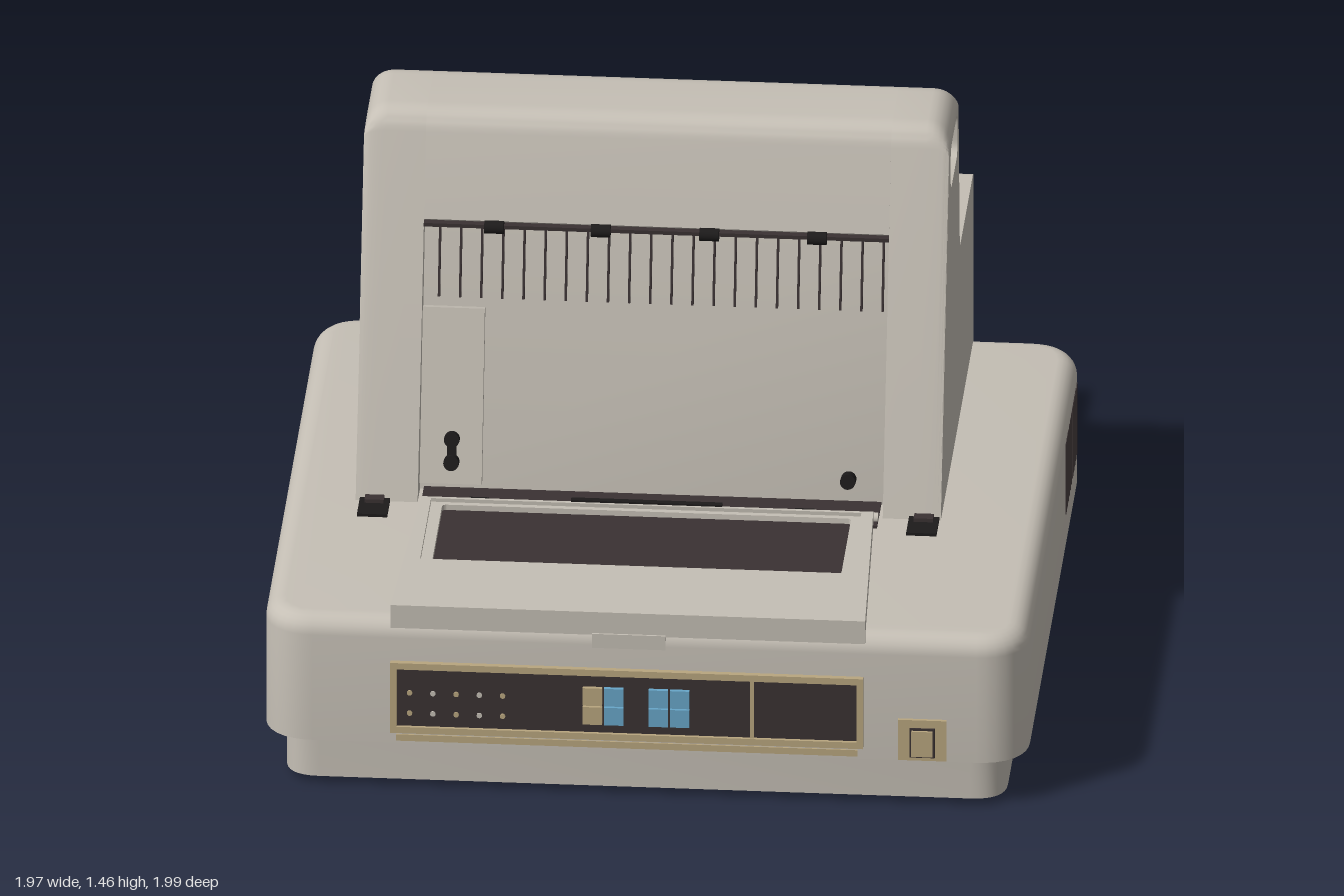
import * as THREE from 'three';
import { toCreasedNormals } from 'three/addons/utils/BufferGeometryUtils.js';

const mat = (name, color) => Object.assign(new THREE.MeshStandardMaterial({ color }), { name });
const beige = mat('warm beige', 0xc5bfb5);
const brown = mat('dark brown', 0x3a3233);
const black = mat('black', 0x1d1b1b);
const tan = mat('tan', 0xb9a67f);
const blue = mat('blue', 0x68a6c9);

// Closed outline from [x, y, radius] corners
function outline(pts, Type = THREE.Shape) {
  const s = new Type();
  pts.forEach(([x, y, r = 0], i) => {
    const p = new THREE.Vector2(x, y);
    const toward = (q) => p.clone().add(new THREE.Vector2(q[0], q[1]).sub(p).setLength(r));
    const a = toward(pts[(i + pts.length - 1) % pts.length]);
    const b = toward(pts[(i + 1) % pts.length]);
    if (i) s.lineTo(a.x, a.y); else s.moveTo(a.x, a.y);
    if (r) s.quadraticCurveTo(x, y, b.x, b.y);
  });
  s.closePath();
  return s;
}
const rect = (x0, x1, y0, y1, r = 0, Type) =>
  outline([[x0, y0, r], [x1, y0, r], [x1, y1, r], [x0, y1, r]], Type);

export function createModel() {
  const model = new THREE.Group();
  model.name = 'printer';

  const add = (name, geo, material, parent = model) => {
    const m = new THREE.Mesh(geo, material);
    m.name = name;
    parent.add(m);
    return m;
  };
  const box = (name, x0, x1, y0, y1, z0, z1, material, parent) => {
    const m = add(name, new THREE.BoxGeometry(x1 - x0, y1 - y0, z1 - z0), material, parent);
    m.position.set((x0 + x1) / 2, (y0 + y1) / 2, (z0 + z1) / 2);
    return m;
  };
  const disc = (name, r, h, axis, x, y, z, material, parent) => {
    const geo = new THREE.CylinderGeometry(r, r, h, 20);
    if (axis === 'x') geo.rotateZ(Math.PI / 2);
    if (axis === 'z') geo.rotateX(Math.PI / 2);
    const m = add(name, geo, material, parent);
    m.position.set(x, y, z);
    return m;
  };
  // Plan outline (x, -z) raised from y0 to y1
  const slab = (name, shape, y0, y1, material) => {
    const geo = new THREE.ExtrudeGeometry(shape, { depth: y1 - y0, bevelEnabled: false, curveSegments: 8 });
    geo.rotateX(-Math.PI / 2).translate(0, y0, 0);
    return add(name, toCreasedNormals(geo, 0.5), material);
  };

  // Lower plinth and feet
  slab('plinth', rect(-0.93, 0.93, -0.96, 0.78, 0.09), 0.02, 0.14, beige);
  for (const x of [-0.8, 0.8]) for (const z of [-0.64, 0.82])
    disc('foot', 0.045, 0.022, 'y', x, 0.011, z, black);
  box('undersideSlot', 0.7, 0.79, 0.014, 0.021, 0.33, 0.37, black);
  box('undersideSlot', 0.74, 0.85, 0.014, 0.021, 0.58, 0.6, black);

  // Upper housing: rounded top edge, flat underside
  const B = 0.05;
  const housing = new THREE.ExtrudeGeometry(rect(-0.985 + B, 0.985 - B, -0.975 + B, 0.81 - B, 0.08), {
    depth: 0.48 - B - 0.13, bevelThickness: B, bevelSize: B, bevelSegments: 6, curveSegments: 8,
  });
  housing.rotateX(-Math.PI / 2).translate(0, 0.13, 0);
  const hp = housing.attributes.position;
  for (let i = 0; i < hp.count; i++) hp.setY(i, Math.max(hp.getY(i), 0.13));
  add('housing', toCreasedNormals(housing, 0.5), beige);

  // Tower: recessed middle between two cheeks with hand grips
  const back = [[0.79, 0.47], [0.79, 0.96, 0.03], [0.34, 0.96, 0.025], [0.29, 1.46, 0.07], [0.008, 1.46, 0.055]];
  const alongX = (shape, depth, steps = 1) =>
    new THREE.ExtrudeGeometry(shape, { depth, steps, bevelEnabled: false, curveSegments: 8 }).rotateY(Math.PI / 2);
  const middle = alongX(outline([...back, [-0.072, 1.19], [-0.04, 1.17], [-0.2, 0.48], [-0.2, 0.47]]), 1.2);
  middle.translate(-0.64, 0, 0);
  add('towerMiddle', toCreasedNormals(middle, 0.5), beige);

  const cheek = (name, xIn, xOut) => {
    const N = 7, R = 0.06, s = Math.sign(xOut - xIn);
    const shape = outline([...back, [-0.283, 0.47]]);
    shape.holes.push(rect(0.04, 0.265, 1.265, 1.385, 0.04, THREE.Path));
    const geo = alongX(shape, N, N);
    const p = geo.attributes.position;
    for (let i = 0; i < p.count; i++) {
      const k = Math.round(s > 0 ? p.getX(i) : N - p.getX(i));
      const a = ((k - 1) / (N - 1)) * Math.PI / 2;
      p.setX(i, k === 0 ? xIn : xOut - s * R * (1 - Math.sin(a)));
      const y = p.getY(i);
      if (k > 0 && y > 1.385) p.setY(i, y - R * (1 - Math.cos(a)) * (y - 1.385) / 0.075);
    }
    add(name, toCreasedNormals(geo, 0.5), beige);
  };
  cheek('leftCheek', 0.56, 0.71);
  cheek('rightCheek', -0.64, -0.8);

  // Leaning paper panel with ribs, rollers, flap and levers
  const panel = new THREE.Group();
  panel.name = 'paperPanel';
  panel.position.set(0, 0.48, 0.2);
  panel.rotation.x = -Math.atan2(0.16, 0.69);
  model.add(panel);
  for (let i = 0; i < 22; i++) {
    const x = -0.6 + i * 0.0545;
    box('rib', x - 0.003, x + 0.003, 0.51, 0.7, -0.002, 0.008, brown, panel);
  }
  box('sideFlap', -0.64, -0.48, 0.02, 0.485, -0.005, 0.02, beige, panel);
  box('lever', -0.57, -0.546, 0.08, 0.155, 0.018, 0.034, black, panel);
  disc('leverKnob', 0.02, 0.03, 'z', -0.558, 0.08, 0.034, black, panel);
  disc('leverTop', 0.02, 0.024, 'z', -0.558, 0.14, 0.03, black, panel);
  disc('knob', 0.02, 0.04, 'z', 0.465, 0.065, 0.02, black, panel);
  box('rollerBar', -0.64, 0.56, 1.172, 1.182, 0.06, 0.08, brown);
  for (const x of [-0.458, -0.183, 0.097, 0.375])
    disc('pinchRoller', 0.017, 0.05, 'x', x, 1.178, 0.082, black);

  // Paper slot in front of the tower
  box('paperSlot', -0.63, 0.55, 0.475, 0.487, 0.19, 0.34, brown);
  disc('platenBar', 0.014, 1.18, 'x', -0.04, 0.492, 0.302, beige);
  for (const x of [-0.48, -0.2, 0.08, 0.36])
    disc('feedRoller', 0.018, 0.05, 'x', x, 0.492, 0.302, black);
  box('slotGuide', -0.24, 0.15, 0.485, 0.53, 0.322, 0.338, black);
  for (const x of [-0.75, 0.667]) {
    box('hinge', x - 0.039, x + 0.039, 0.475, 0.488, 0.26, 0.375, black);
    box('hingeBlock', x - 0.025, x + 0.025, 0.48, 0.498, 0.28, 0.31, brown);
  }

  // Tapered cover with sunken window
  const cover = outline([[-0.655, -0.978], [0.57, -0.978], [0.54, -0.335], [-0.625, -0.335]]);
  cover.holes.push(rect(-0.6, 0.51, -0.7, -0.345, 0, THREE.Path));
  slab('cover', cover, 0.46, 0.525, beige);
  const frame = rect(-0.6, 0.51, -0.7, -0.345);
  frame.holes.push(rect(-0.57, 0.485, -0.685, -0.36, 0.012, THREE.Path));
  slab('windowFrame', frame, 0.47, 0.515, beige);
  box('window', -0.575, 0.49, 0.475, 0.5, 0.355, 0.69, brown);
  box('coverLatch', -0.135, 0.055, 0.425, 0.465, 0.96, 0.983, beige);

  // Control panel on the front
  const bezel = new THREE.ExtrudeGeometry((() => {
    const s = rect(-0.655, 0.565, 0.165, 0.365);
    s.holes.push(rect(-0.638, 0.548, 0.183, 0.347, 0, THREE.Path));
    return s;
  })(), { depth: 0.02, bevelEnabled: false });
  add('panelBezel', bezel, tan).position.z = 0.97;
  box('panelFace', -0.64, 0.55, 0.18, 0.35, 0.97, 0.981, brown);
  box('panelDivider', 0.274, 0.284, 0.183, 0.347, 0.975, 0.986, tan);
  box('panelTrim', -0.64, 0.55, 0.138, 0.156, 0.97, 0.979, tan);
  [-0.133, -0.078, 0.037, 0.092].forEach((x, i) => {
    for (const y of [0.234, 0.288])
      box('button', x - 0.025, x + 0.025, y - 0.025, y + 0.025, 0.975, 0.992, i ? blue : tan);
  });
  for (let i = 0; i < 5; i++) for (const y of [0.22, 0.278])
    disc('indicator', 0.007, 0.006, 'z', -0.605 + i * 0.06, y, 0.982, i % 2 ? beige : tan);

  // Power switch
  box('switchPlate', 0.655, 0.78, 0.135, 0.25, 0.965, 0.984, tan);
  box('switchRim', 0.685, 0.75, 0.145, 0.228, 0.98, 0.988, brown);
  box('switchButton', 0.69, 0.745, 0.15, 0.222, 0.98, 0.994, tan);

  // Side vents
  for (let i = 0; i < 11; i++) {
    const z = -0.32 - i * 0.035;
    box('vent', 0.98, 0.987, 0.22, 0.42, z - 0.009, z + 0.009, brown);
  }

  // Rear trays with recessed ends
  for (const y of [0.55, 0.745]) {
    const rim = rect(-0.46, 0.38, y, y + 0.16);
    rim.holes.push(rect(-0.41, 0.33, y + 0.04, y + 0.12, 0, THREE.Path));
    add('trayRim', new THREE.ExtrudeGeometry(rim, { depth: 0.03, bevelEnabled: false }), beige).position.z = -1;
    box('trayBody', -0.46, 0.38, y, y + 0.12, -0.97, -0.77, beige);
    const top = rect(-0.46, 0.38, 0.77, 0.97);
    top.holes.push(rect(-0.34, 0.26, 0.78, 0.965, 0, THREE.Path));
    slab('trayTop', top, y + 0.12, y + 0.16, beige);
  }

  // Rear connector plate
  box('connectorPlate', -0.885, -0.57, 0.135, 0.44, -0.815, -0.8, black);
  for (const y of [0.2, 0.38]) disc('roundSocket', 0.035, 0.012, 'z', -0.82, y, -0.818, brown);
  box('powerSocket', -0.86, -0.78, 0.265, 0.315, -0.824, -0.81, brown);
  box('socketLabel', -0.845, -0.795, 0.28, 0.3, -0.828, -0.82, beige);
  return model;
}
